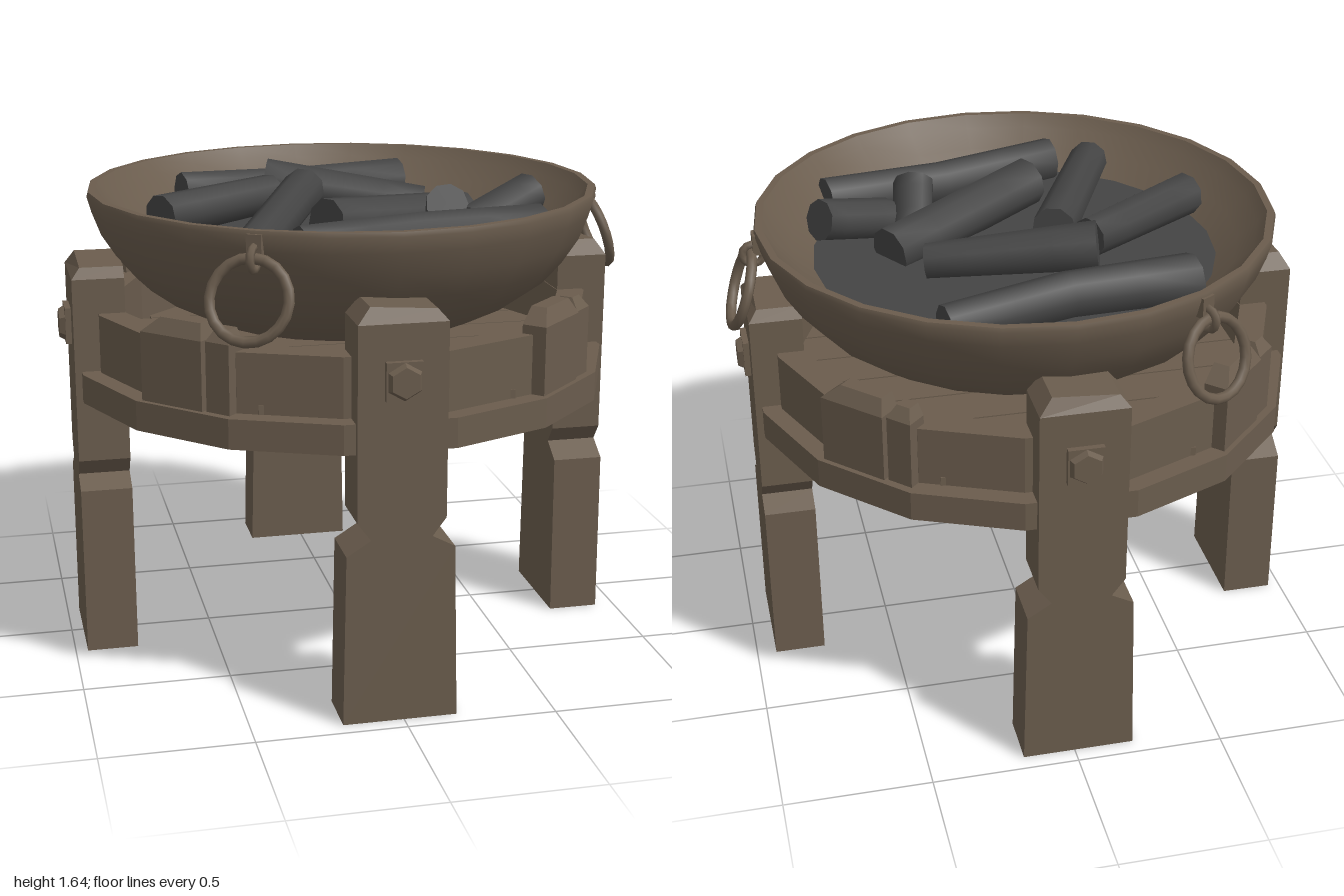
import * as THREE from 'three';
import { toCreasedNormals } from 'three/addons/utils/BufferGeometryUtils.js';

export function createModel() {
  const root = new THREE.Group();
  root.name = 'brazier';
  const brown = new THREE.MeshStandardMaterial({ color: 0x6a5c4d, side: THREE.DoubleSide });
  brown.name = 'weathered brown';
  const coal = new THREE.MeshStandardMaterial({ color: 0x444444 });
  coal.name = 'charcoal grey';

  const add = (parent, name, geo, mat = brown, x = 0, y = 0, z = 0) => {
    const m = new THREE.Mesh(geo, mat);
    m.name = name;
    m.position.set(x, y, z);
    parent.add(m);
    return m;
  };
  const group = (parent, name, angle = 0) => {
    const g = new THREE.Group();
    g.name = name;
    g.rotation.y = angle;
    parent.add(g);
    return g;
  };
  const v2 = (pts) => pts.map(([x, y]) => new THREE.Vector2(x, y));
  const flat = (geo) => {
    const g = geo.index ? geo.toNonIndexed() : geo;
    g.computeVertexNormals();
    return g;
  };
  const extrude = (outline, z0, z1) => new THREE.ExtrudeGeometry(
    new THREE.Shape(v2(outline)), { depth: z1 - z0, bevelEnabled: false }).translate(0, 0, z0);
  // Top end of a plank, its outer face sloping inwards
  const cap = (outline, z0, z1, slope) => {
    const g = extrude(outline, z0, z1);
    const p = g.attributes.position;
    for (let i = 0; i < p.count; i++) {
      if (p.getY(i) > outline[1][1] + 0.02 && p.getZ(i) > (z0 + z1) / 2) p.setZ(i, p.getZ(i) - slope);
    }
    return flat(g);
  };
  // Hollow leg: faces lying on the ground are left out
  const openBottom = (geo) => {
    const src = geo.attributes.position, kept = [];
    for (let i = 0; i < src.count; i += 3) {
      if (Math.max(src.getY(i), src.getY(i + 1), src.getY(i + 2)) < 0.001) continue;
      for (let k = i; k < i + 3; k++) kept.push(src.getX(k), src.getY(k), src.getZ(k));
    }
    return flat(new THREE.BufferGeometry().setAttribute('position', new THREE.Float32BufferAttribute(kept, 3)));
  };
  // Sixteen-sided hoop of rectangular section
  const hoop = (ri, ro, y0, y1) => flat(new THREE.LatheGeometry(
    v2([[ro, y0], [ro, y1], [ri, y1], [ri, y0], [ro, y0]]), 16, Math.PI / 16));

  // Stand
  const stand = group(root, 'stand');
  stand.position.x = -0.013;
  add(stand, 'hoop', hoop(0.78, 0.875, 1.0, 1.21));
  add(stand, 'ledge', hoop(0.78, 0.94, 0.91, 1.01));
  add(stand, 'crossBeamX', new THREE.BoxGeometry(1.56, 0.13, 0.2), brown, 0, 0.935, 0);
  add(stand, 'crossBeamZ', new THREE.BoxGeometry(0.2, 0.128, 1.56), brown, 0, 0.936, 0);

  // Floor boards cut to the hoop
  for (let i = -4; i <= 4; i++) {
    const z = i * 0.17;
    const length = 2 * Math.sqrt(0.8 * 0.8 - z * z);
    add(stand, 'floorBoard', new THREE.BoxGeometry(length, 0.04, 0.163), brown, 0, 1.02, z);
  }

  // Four notched legs with bolts, and a plank pair between each two legs
  const legGeo = openBottom(extrude([[-0.19, 0], [0.19, 0], [0.175, 0.59], [0.1, 0.63], [0.145, 0.69],
    [0.145, 1.33], [-0.145, 1.33], [-0.145, 0.69], [-0.1, 0.63], [-0.18, 0.58]], 0.768, 0.945));
  const legCapGeo = cap([[-0.145, 1.33], [0.145, 1.33], [0.115, 1.365], [-0.1, 1.38]], 0.768, 0.945, 0.03);
  const wideGeo = extrude([[-0.17, 1.01], [0.07, 1.01], [0.07, 1.24], [-0.17, 1.24]], 0.82, 0.905);
  const wideCapGeo = cap([[-0.17, 1.24], [0.07, 1.24], [0.05, 1.29], [-0.11, 1.29]], 0.82, 0.905, 0.03);
  const thinGeo = extrude([[0.08, 1.01], [0.17, 1.01], [0.17, 1.24], [0.08, 1.24]], 0.82, 0.895);
  const thinCapGeo = cap([[0.08, 1.24], [0.17, 1.24], [0.15, 1.28], [0.1, 1.28]], 0.82, 0.895, 0.03);
  const boltGeo = flat(new THREE.CylinderGeometry(0.05, 0.062, 0.02, 6).rotateX(Math.PI / 2));
  for (let i = 0; i < 4; i++) {
    const side = group(stand, 'legAssembly', i * Math.PI / 2);
    add(side, 'leg', legGeo);
    add(side, 'legTop', legCapGeo);
    add(side, 'boltPlate', new THREE.BoxGeometry(0.118, 0.125, 0.04), brown, 0, 1.15, 0.945);
    add(side, 'boltHead', boltGeo, brown, 0, 1.15, 0.974);
    const clamp = group(stand, 'clampPlanks', (i + 0.5) * Math.PI / 2);
    add(clamp, 'widePlank', wideGeo);
    add(clamp, 'widePlankTop', wideCapGeo);
    add(clamp, 'thinPlank', thinGeo);
    add(clamp, 'thinPlankTop', thinCapGeo);
  }

  // Bowl with thick wall
  const profile = v2([[0, 1.09], [0.3, 1.11], [0.5, 1.16], [0.63, 1.225], [0.72, 1.29], [0.785, 1.365],
    [0.84, 1.45], [0.87, 1.53], [0.885, 1.585], [0.88, 1.6], [0.855, 1.6], [0.825, 1.56], [0.76, 1.5], [0.68, 1.43]]);
  add(root, 'bowl', toCreasedNormals(new THREE.LatheGeometry(profile, 24), 0.7));
  add(root, 'ashBed', new THREE.CircleGeometry(0.7, 18).rotateX(-Math.PI / 2), coal, 0, 1.44, 0);

  // Three hanging ring handles
  for (let i = 0; i < 3; i++) {
    const handle = group(root, 'ringHandle', Math.PI / 2 + i * Math.PI * 2 / 3);
    const ring = add(handle, 'ring', new THREE.TorusGeometry(0.13, 0.018, 8, 20), brown, 0, 1.395, 0.938);
    ring.rotation.x = -0.33;
    const lug = add(handle, 'lug', new THREE.TorusGeometry(0.036, 0.014, 6, 12), brown, 0, 1.515, 0.89);
    lug.rotation.y = Math.PI / 2;
    add(handle, 'lugPlate', new THREE.BoxGeometry(0.05, 0.07, 0.03), brown, 0, 1.555, 0.876);
  }

  // Charred logs: start, end, start radius, end radius, sideways bend
  const logs = [
    [[-0.5, 1.49, -0.445], [0.36, 1.5, -0.62], 0.088, 0.072, 0.05],
    [[-0.22, 1.56, -0.28], [0.33, 1.49, -0.13], 0.085, 0.06, 0],
    [[-0.65, 1.53, 0.13], [-0.22, 1.54, -0.17], 0.075, 0.068, 0],
    [[-0.41, 1.5, 0.57], [-0.11, 1.56, -0.12], 0.07, 0.075, 0],
    [[-0.13, 1.53, 0.36], [0.43, 1.47, 0.01], 0.085, 0.085, 0],
    [[-0.27, 1.5, 0.61], [0.59, 1.49, 0.42], 0.078, 0.088, -0.04],
    [[0.4, 1.48, 0.26], [0.65, 1.56, 0.12], 0.072, 0.072, 0],
    [[0.29, 1.575, 0.33], [0.32, 1.47, 0.18], 0.072, 0.068, 0],
  ];
  const up = new THREE.Vector3(0, 1, 0);
  const pile = group(root, 'logs');
  for (const [start, end, r0, r1, bend] of logs) {
    const a = new THREE.Vector3(...start), b = new THREE.Vector3(...end);
    const dir = b.clone().sub(a);
    const half = dir.length() / 2;
    const axis = dir.normalize();
    const mid = a.add(b).multiplyScalar(0.5);
    const g = new THREE.CylinderGeometry(r1, r0, half * 2, 9, 4);
    g.applyQuaternion(new THREE.Quaternion().setFromUnitVectors(up, axis));
    const p = g.attributes.position;
    for (let i = 0; i < p.count; i++) {
      const along = new THREE.Vector3().fromBufferAttribute(p, i).dot(axis) / half;
      p.setZ(i, p.getZ(i) + bend * Math.max(0, 1 - Math.abs(along)));
    }
    add(pile, 'log', toCreasedNormals(g, 0.9), coal, mid.x, mid.y, mid.z);
  }
  return root;
}
